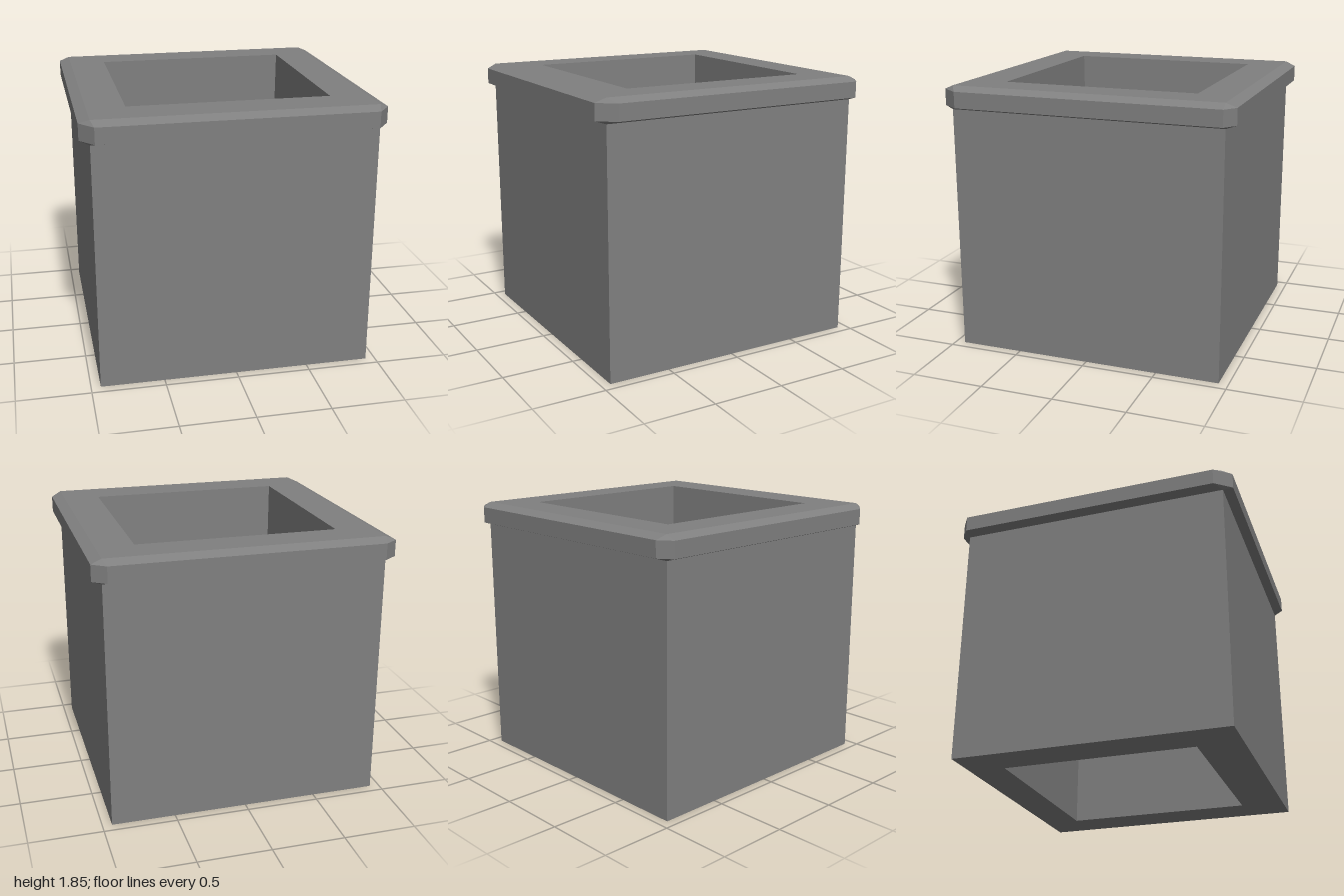
import * as THREE from 'three';

// Rectangular cross-section; each corner is doubled so it can join a chamfered one.
function square(y, hx, hz, cz = 0) {
  return [[hx, hz], [hx, -hz], [-hx, -hz], [-hx, hz]]
    .flatMap(([x, z]) => [[x, y, z + cz], [x, y, z + cz]]);
}

// Outer rim cross-section with cut corners, deeper at the front.
function chamfered(y) {
  const half = [[0.91, 1], [1, 0.885], [1, -0.935], [0.91, -1]];
  const mirrored = half.map(([x, z]) => [-x, z]).reverse();
  return [...half, ...mirrored].map(([x, z]) => [x, y, z]);
}

// Skin consecutive cross-sections with flat faces, skipping collapsed ones.
function loft(name, material, rings) {
  const positions = [];
  const same = (p, q) => p.every((v, k) => v === q[k]);
  const tri = (a, b, c) => {
    if (!same(a, b) && !same(b, c) && !same(c, a)) positions.push(...a, ...b, ...c);
  };
  for (let j = 0; j < rings.length - 1; j++) {
    const lower = rings[j], upper = rings[j + 1], n = lower.length;
    for (let i = 0; i < n; i++) {
      const k = (i + 1) % n;
      tri(lower[i], lower[k], upper[k]);
      tri(lower[i], upper[k], upper[i]);
    }
  }
  const geometry = new THREE.BufferGeometry();
  geometry.setAttribute('position', new THREE.Float32BufferAttribute(positions, 3));
  geometry.computeVertexNormals();
  const mesh = new THREE.Mesh(geometry, material);
  mesh.name = name;
  return mesh;
}

export function createModel() {
  const group = new THREE.Group();
  group.name = 'squarePlanter';
  const stone = new THREE.MeshStandardMaterial({ color: 0x808080 });
  stone.name = 'greyStone';

  const base = square(0, 0.935, 0.935);
  const neck = square(1.69, 0.935, 0.935);
  const top = square(1.85, 0.93, 0.93);
  const holeTop = square(1.85, 0.68, 0.6725, -0.0125);
  const holeBottom = square(0, 0.66, 0.66, -0.025);

  group.add(
    loft('outerWalls', stone, [base, neck]),
    // Bevelled lip and its flat top
    loft('rim', stone, [neck, chamfered(1.71), chamfered(1.82), top, holeTop]),
    // Slightly tapered opening running right through
    loft('innerWalls', stone, [holeTop, holeBottom]),
    loft('underside', stone, [holeBottom, base]),
  );
  return group;
}
